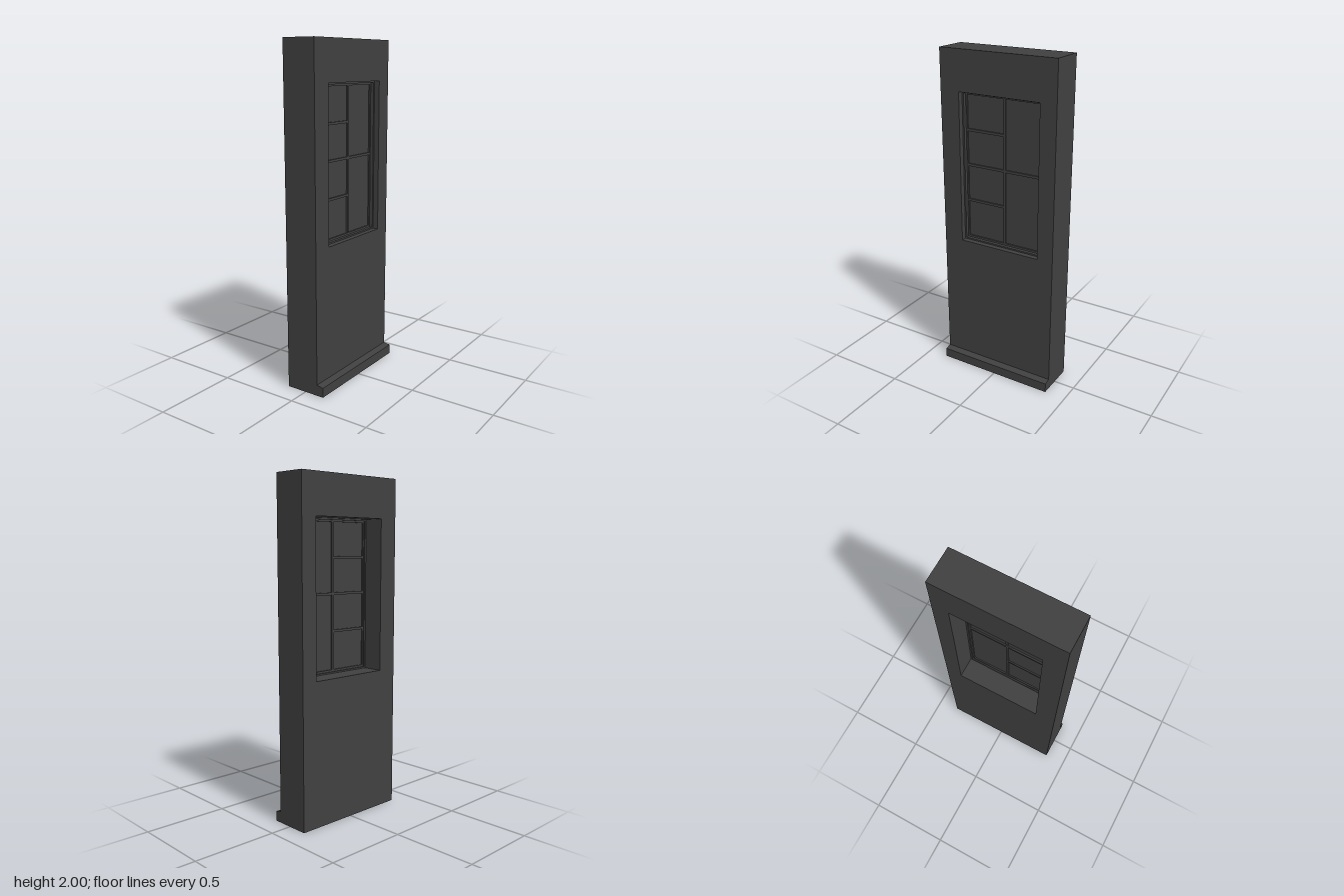
import * as THREE from 'three';

const material = new THREE.MeshStandardMaterial({ color: 0x404040, flatShading: true });

// Closed rectangle; u runs along the wall (u = -z), v is height
function rect(Type, [u0, u1, v0, v1]) {
  const r = new Type();
  r.moveTo(u0, v0);
  r.lineTo(u1, v0);
  r.lineTo(u1, v1);
  r.lineTo(u0, v1);
  r.closePath();
  return r;
}

// Upright panel with rectangular openings, spanning x0 to x1 in thickness
function panel(name, outline, holes, x0, x1) {
  const shape = rect(THREE.Shape, outline);
  for (const hole of holes) shape.holes.push(rect(THREE.Path, hole));
  const geometry = new THREE.ExtrudeGeometry(shape, { depth: x1 - x0, bevelEnabled: false });
  geometry.rotateY(Math.PI / 2).translate(x0, 0, 0);
  const mesh = new THREE.Mesh(geometry, material);
  mesh.name = name;
  return mesh;
}

export function createModel() {
  const model = new THREE.Group();
  model.name = 'wallWithWindow';

  const opening = [-0.247, 0.27, 0.857, 1.763];
  const sashOutline = [-0.237, 0.26, 0.866, 1.753];
  const panes = [];

  // Four small panes in one column, two tall panes in the other
  for (const [v0, v1] of [[0.878, 1.1], [1.115, 1.32], [1.335, 1.53], [1.545, 1.742]])
    panes.push([-0.228, 0.013, v0, v1]);
  for (const [v0, v1] of [[0.878, 1.32], [1.335, 1.742]])
    panes.push([0.027, 0.25, v0, v1]);

  // Wall with its window opening
  model.add(panel('wall', [-0.37, 0.37, 0, 2], [opening], -0.125, 0.083));

  // Window: outer frame, stepped-back sash with glazing bars, and glass
  const windowGroup = new THREE.Group();
  windowGroup.name = 'window';
  windowGroup.add(
    panel('windowFrame', opening, [sashOutline], 0, 0.05),
    panel('windowSash', sashOutline, panes, 0.008, 0.03),
    panel('windowGlass', [-0.232, 0.255, 0.872, 1.747], [], 0.016, 0.022),
  );
  model.add(windowGroup);

  // Plinth along the foot of the wall, with a sloping top
  const profile = new THREE.Shape();
  profile.moveTo(0.083, 0);
  profile.lineTo(0.125, 0);
  profile.lineTo(0.125, 0.058);
  profile.lineTo(0.083, 0.066);
  profile.closePath();
  const plinth = new THREE.Mesh(
    new THREE.ExtrudeGeometry(profile, { depth: 0.74, bevelEnabled: false }).translate(0, 0, -0.37),
    material,
  );
  plinth.name = 'plinth';
  model.add(plinth);

  return model;
}
